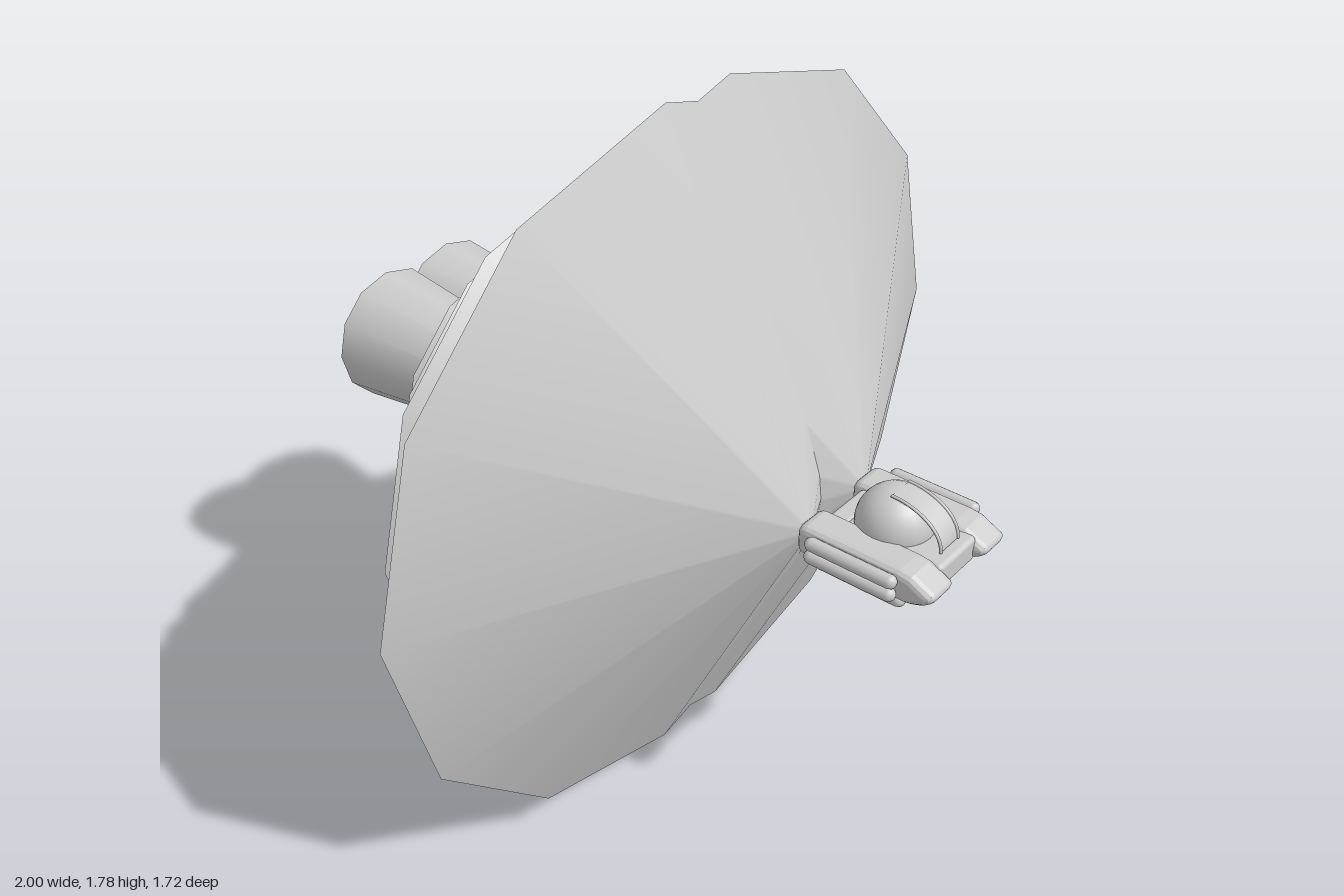
import * as THREE from 'three';
import { RoundedBoxGeometry } from 'three/addons/geometries/RoundedBoxGeometry.js';

const AXIS_Y = 0.892, ENGINE_X = 0.108;

export function createModel() {
  const model = new THREE.Group();
  const solid = new THREE.MeshStandardMaterial({ color: 0xcccccc });
  const sheet = new THREE.MeshStandardMaterial({ color: 0xcccccc, side: THREE.DoubleSide });

  const add = (name, geometry, x, y, z, material = solid) => {
    const mesh = new THREE.Mesh(geometry, material);
    mesh.name = name;
    mesh.position.set(x, y, z);
    model.add(mesh);
    return mesh;
  };

  // Nested open exhaust cones: [rear z, rear radius], all starting at the nozzle
  const nozzleZ = 0.51, nozzleR = 0.02;
  const plumes = [[0.095, 0.892], [-0.095, 0.71], [-0.253, 0.533], [-0.42, 0.355], [-0.86, 0.178]];

  // Side profile of an engine pod, drawn as (z, y)
  const profile = new THREE.Shape();
  profile.moveTo(0.53, -0.04);
  profile.lineTo(0.79, -0.04);
  profile.quadraticCurveTo(0.83, -0.034, 0.853, -0.012);
  profile.quadraticCurveTo(0.862, 0, 0.853, 0.01);
  profile.lineTo(0.80, 0.036);
  profile.lineTo(0.77, 0.04);
  profile.lineTo(0.53, 0.04);
  profile.quadraticCurveTo(0.508, 0.036, 0.508, 0.015);
  profile.lineTo(0.508, -0.015);
  profile.quadraticCurveTo(0.508, -0.036, 0.53, -0.04);
  const podGeometry = new THREE.ExtrudeGeometry(profile, {
    depth: 0.055, bevelSize: 0.018, bevelOffset: -0.018, bevelThickness: 0.02,
    bevelSegments: 3, curveSegments: 5,
  });
  podGeometry.translate(0, 0, -0.0275).rotateY(-Math.PI / 2);

  // Capsule tubes along z, as [x, y]: two beside each pod, two below it
  const tubes = [[0.17, 0.909], [0.17, 0.875], [0.125, 0.832], [0.092, 0.832]];
  const tubeGeometry = new THREE.CapsuleGeometry(0.017, 0.2, 3, 10).rotateX(Math.PI / 2);

  for (const side of [-1, 1]) {
    const label = side > 0 ? 'left' : 'right';
    plumes.forEach(([z, radius], i) => {
      const cone = new THREE.CylinderGeometry(nozzleR, radius, nozzleZ - z, 12, 1, true);
      cone.rotateX(Math.PI / 2);
      add(`${label}ExhaustCone${i + 1}`, cone, side * ENGINE_X, AXIS_Y, (nozzleZ + z) / 2, sheet);
    });
    add(`${label}EnginePod`, podGeometry, side * ENGINE_X, 0.89, 0);
    tubes.forEach(([x, y], i) => add(`${label}Tube${i + 1}`, tubeGeometry, side * x, y, 0.662));
    // Bracket joining the side tubes to the pod
    add(`${label}TubeBracket`, new THREE.BoxGeometry(0.03, 0.03, 0.16), side * 0.155, 0.892, 0.662);
  }

  // Hull between the pods
  add('hull', new RoundedBoxGeometry(0.15, 0.065, 0.25, 2, 0.012), 0, 0.888, 0.705);
  add('rearDeck', new RoundedBoxGeometry(0.13, 0.05, 0.05, 2, 0.01), 0, 0.895, 0.56);

  // Cockpit
  add('cockpitDome', new THREE.SphereGeometry(0.091, 24, 16), 0, 0.925, 0.665);

  // Windscreen strip curving from the top of the dome down to the nose
  const arc = (t) => new THREE.Vector3(0, 0.925 + 0.09 * Math.cos(t), 0.67 + 0.133 * Math.sin(t));
  const points = Array.from({ length: 10 }, (_, i) => arc((i / 9) * Math.PI / 2));
  const strip = new THREE.PlaneGeometry(0.07, 1, 1, 9);
  const position = strip.attributes.position;
  for (let i = 0; i < position.count; i++) {
    const p = points[Math.floor(i / 2)];
    position.setXYZ(i, position.getX(i), p.y, p.z);
  }
  strip.computeVertexNormals();
  add('windscreen', strip, 0, 0, 0, sheet);
  const rail = new THREE.TubeGeometry(new THREE.CatmullRomCurve3(points), 16, 0.004, 6);
  for (const x of [-0.035, 0.035]) add('windscreenRail', rail, x, 0, 0);

  return model;
}
